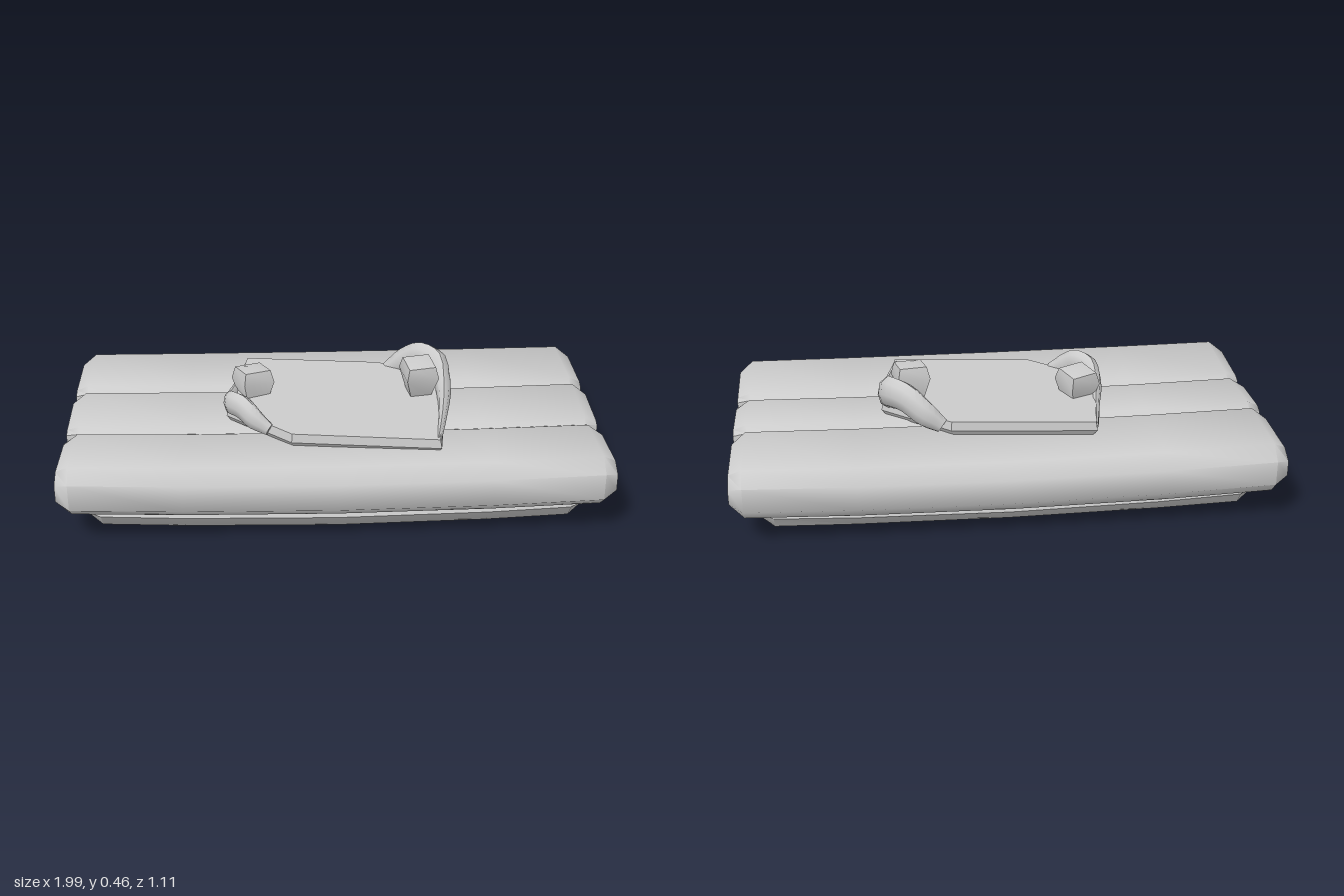
import * as THREE from 'three';
import { mergeVertices, toCreasedNormals } from 'three/addons/utils/BufferGeometryUtils.js';

const material = new THREE.MeshStandardMaterial({ color: 0xcccccc });

// Closed skin through rings of equal point count, with capped ends
function loft(rings, crease) {
  const n = rings[0].length, pos = [], idx = [];
  rings.forEach(r => r.forEach(p => pos.push(p.x, p.y, p.z)));
  for (let i = 0; i < rings.length - 1; i++) {
    for (let j = 0; j < n; j++) {
      const a = i * n + j, b = i * n + (j + 1) % n;
      idx.push(a, b, a + n, b, b + n, a + n);
    }
  }
  const last = (rings.length - 1) * n;
  for (let j = 1; j < n - 1; j++) {
    idx.push(0, j + 1, j, last, last + j, last + j + 1);
  }
  // Turn the skin outward if its enclosed volume is negative
  const v = i => new THREE.Vector3().fromArray(pos, i * 3);
  let volume = 0;
  for (let i = 0; i < idx.length; i += 3) {
    volume += v(idx[i]).dot(v(idx[i + 1]).cross(v(idx[i + 2])));
  }
  if (volume < 0) idx.reverse();
  const g = new THREE.BufferGeometry();
  g.setAttribute('position', new THREE.Float32BufferAttribute(pos, 3));
  g.setIndex(idx);
  return toCreasedNormals(mergeVertices(g), crease);
}

function addMesh(parent, name, geometry) {
  const mesh = new THREE.Mesh(geometry, material);
  mesh.name = name;
  parent.add(mesh);
  return mesh;
}

// Bowed plank: outline is its centre cross-section as [z, y] points
function plank(outline, halfLength, lift) {
  const zs = outline.map(p => p[0]), ys = outline.map(p => p[1]);
  const mid = a => (Math.min(...a) + Math.max(...a)) / 2;
  const cz = mid(zs), cy = mid(ys);
  const h = halfLength, e = h - 0.05;
  const rings = [-h, -e, -0.55, 0, 0.55, e, h].map(x => {
    const end = Math.abs(x) === h;
    return outline.map(([z, y]) => {
      const bowed = Math.abs(z) > 0.4 ? z - Math.sign(z) * 0.018 * x * x : z;
      const zz = end ? bowed - Math.sign(z - cz) * 0.03 : bowed;
      const yy = end ? cy + (y - cy) * 0.62 : y;
      return new THREE.Vector3(x, yy + lift * x * x, zz);
    });
  });
  return loft(rings, 0.95);
}

// Tapering curled rim: stations are [x, y, z, radius]
function horn(stations) {
  const curve = new THREE.CatmullRomCurve3(stations.map(s => new THREE.Vector3(s[0], s[1], s[2])));
  const steps = 20, sides = 8, rings = [];
  for (let i = 0; i <= steps; i++) {
    const t = i / steps, f = t * (stations.length - 1);
    const k = Math.min(Math.floor(f), stations.length - 2);
    const r = THREE.MathUtils.lerp(stations[k][3], stations[k + 1][3], f - k);
    const c = curve.getPoint(t), tan = curve.getTangent(t);
    const side = new THREE.Vector3(-tan.z, 0, tan.x).normalize();
    const up = new THREE.Vector3().crossVectors(side, tan).normalize();
    rings.push(Array.from({ length: sides }, (_, j) => {
      const a = j / sides * Math.PI * 2;
      return c.clone().addScaledVector(side, Math.cos(a) * r * 0.65).addScaledVector(up, Math.sin(a) * r);
    }));
  }
  return loft(rings, 1.1);
}

export function createModel() {
  const model = new THREE.Group();
  model.name = 'plankPlatform';

  // Upper and lower layers of three planks
  const upper = [
    [[0.555, 0.14], [0.555, 0.24], [0.5, 0.285], [0.2, 0.265], [0.17, 0.25], [0.17, 0.13], [0.2, 0.11], [0.5, 0.095]],
    [[0.17, 0.13], [0.17, 0.25], [0.14, 0.265], [-0.12, 0.28], [-0.15, 0.26], [-0.15, 0.13], [-0.12, 0.11], [0.14, 0.11]],
    [[-0.15, 0.13], [-0.15, 0.26], [-0.18, 0.28], [-0.5, 0.277], [-0.555, 0.23], [-0.555, 0.14], [-0.51, 0.095], [-0.18, 0.11]],
  ];
  const lower = [
    [[0.47, 0.06], [0.45, 0.11], [0.43, 0.13], [0.2, 0.13], [0.17, 0.115], [0.17, 0.035], [0.2, 0.008], [0.42, 0]],
    [[0.17, 0.035], [0.17, 0.115], [0.14, 0.13], [-0.12, 0.13], [-0.15, 0.115], [-0.15, 0.045], [-0.12, 0.022], [0.14, 0.008]],
    [[-0.15, 0.045], [-0.15, 0.115], [-0.18, 0.13], [-0.41, 0.13], [-0.43, 0.11], [-0.45, 0.05], [-0.4, 0], [-0.18, 0.022]],
  ];
  ['front', 'middle', 'back'].forEach((name, i) => {
    addMesh(model, name + 'UpperPlank', plank(upper[i], 0.997, 0.013));
    addMesh(model, name + 'LowerPlank', plank(lower[i], 0.9, 0.022));
  });

  // Six-sided plate with a slightly narrower top
  const corners = [[-0.33, -0.33], [0.2, -0.27], [0.445, -0.05], [0.38, 0.385], [-0.16, 0.32], [-0.4, 0.1]];
  const plateRing = (s, y) => corners.map(([x, z]) =>
    new THREE.Vector3(x * s, y - 0.018 * z, z * s));
  addMesh(model, 'plate', loft([plateRing(0.96, 0.275), plateRing(1, 0.295), plateRing(0.985, 0.328)], 0.5));

  // Curled rims on opposite corners of the plate
  addMesh(model, 'leftHorn', horn([
    [0.37, 0.307, 0.36, 0.016], [0.405, 0.315, 0.17, 0.026], [0.425, 0.338, 0, 0.045],
    [0.41, 0.39, -0.1, 0.062], [0.355, 0.395, -0.175, 0.06], [0.29, 0.35, -0.225, 0.052], [0.23, 0.31, -0.245, 0.03],
  ]));
  addMesh(model, 'rightHorn', horn([
    [-0.33, 0.31, -0.3, 0.014], [-0.36, 0.312, -0.12, 0.022], [-0.385, 0.325, 0.04, 0.036],
    [-0.375, 0.355, 0.12, 0.048], [-0.335, 0.362, 0.175, 0.05], [-0.295, 0.335, 0.215, 0.045], [-0.24, 0.305, 0.245, 0.026],
  ]));

  // Four-sided pegs, wider at the top and leaning a little
  const profile = [[0, 0], [0.055, 0], [0.087, 0.085], [0.072, 0.13], [0, 0.14]].map(p => new THREE.Vector2(...p));
  [['leftPeg', 0.33, 0.325, -0.01, -0.6, 0.1], ['rightPeg', -0.3, 0.29, -0.03, -0.36, -0.1]]
    .forEach(([name, x, y, z, turn, lean]) => {
      const peg = addMesh(model, name, toCreasedNormals(new THREE.LatheGeometry(profile, 4), 0.5));
      peg.position.set(x, y, z);
      peg.rotation.set(lean, turn, 0);
    });
  return model;
}
